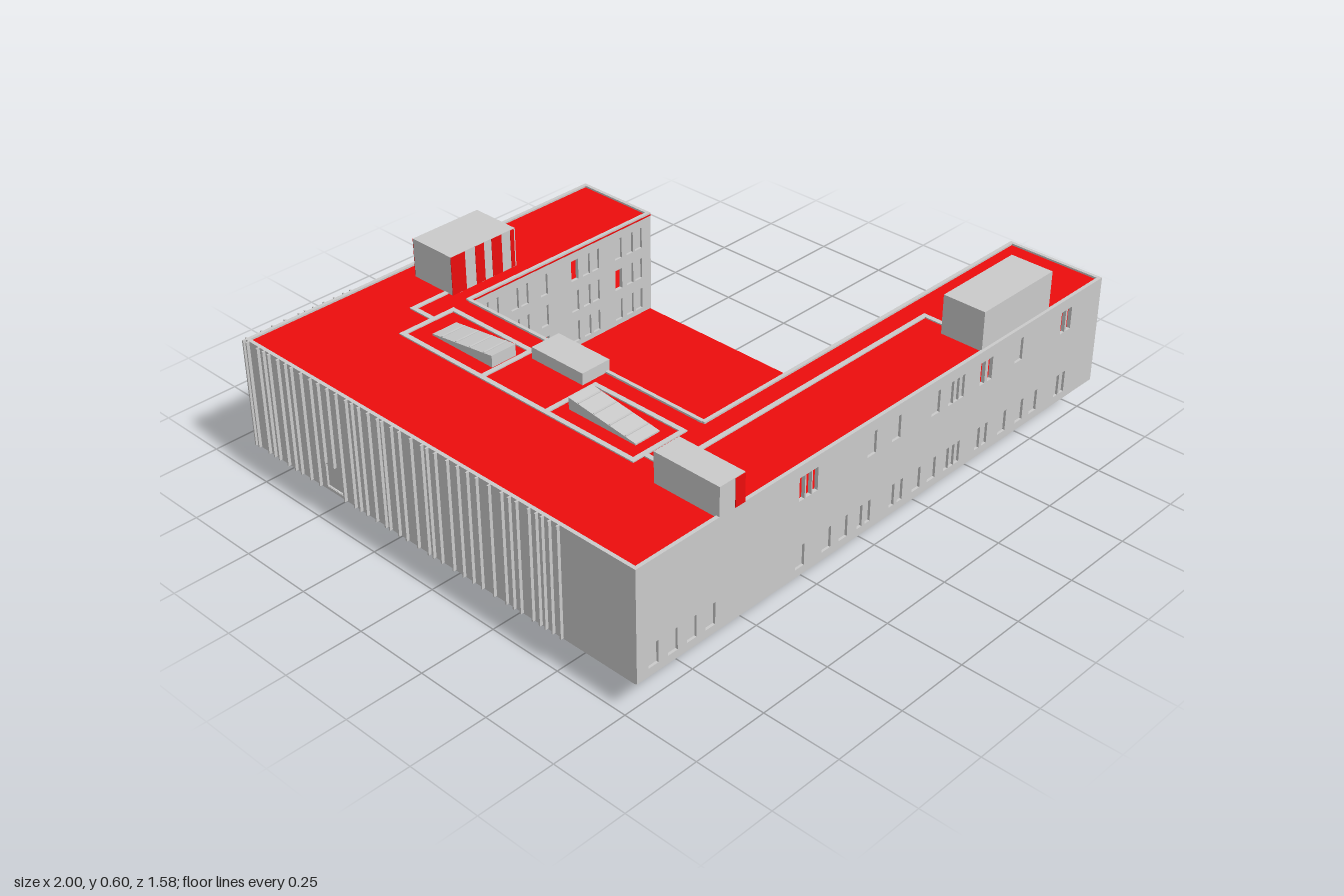
import * as THREE from 'three';

export function createModel() {
  const root = new THREE.Group();
  const grey = new THREE.MeshStandardMaterial({ color: 0xcccccc, side: THREE.DoubleSide });
  const red = new THREE.MeshStandardMaterial({ color: 0xee0d0d, side: THREE.DoubleSide });

  const add = (name, geo, mat = grey, parent = root) => {
    const m = new THREE.Mesh(geo, mat);
    m.name = name;
    parent.add(m);
    return m;
  };
  // Box given by its extents on each axis
  const box = (name, x0, x1, y0, y1, z0, z1, mat = grey, parent = root) => {
    const m = add(name, new THREE.BoxGeometry(x1 - x0, y1 - y0, z1 - z0), mat, parent);
    m.position.set((x0 + x1) / 2, (y0 + y1) / 2, (z0 + z1) / 2);
    return m;
  };
  const outline = (pts) => new THREE.Shape(pts.map(([x, y]) => new THREE.Vector2(x, y)));
  const rect = (x0, x1, y0, y1) => outline([[x0, y0], [x1, y0], [x1, y1], [x0, y1]]);
  const extrude = (shape, depth) => new THREE.ExtrudeGeometry(shape, { depth, bevelEnabled: false });

  // Wall with window holes [centre, y, width, height, open]; closed ones get a recessed pane
  const T = 0.012, BASE = 0.115, TOP = 0.475;
  function wall(name, a, b, windows, outward = 1) {
    const g = new THREE.Group();
    g.name = name;
    const shape = rect(a, b, BASE, TOP);
    for (const [c, y, w, h, open] of windows) {
      shape.holes.push(rect(c - w / 2, c + w / 2, y - h / 2, y + h / 2));
      const z = outward > 0 ? 0.002 : T - 0.004;
      if (!open) {
        box('windowPane', c - w / 2, c + w / 2, y - h / 2, y + h / 2, z, z + 0.002, grey, g);
      }
    }
    add(name + 'Shell', extrude(shape, T), grey, g);
    root.add(g);
    return g;
  }

  // Front wall: two rows of windows
  const upper = [[-0.37, 1], [-0.343, 1], [-0.317, 1], [-0.08], [0.025], [0.2], [0.268], [0.293], [0.318],
    [0.415, 1], [0.45, 1], [0.59], [0.81, 1], [0.84, 1]];
  const lower = [-0.93, -0.86, -0.79, -0.72, -0.37, -0.26, -0.19, -0.12, -0.085, 0.02, 0.057, 0.13, 0.2,
    0.268, 0.293, 0.318, 0.415, 0.45, 0.535, 0.62, 0.69, 0.81, 0.84];
  const paired = (list, i) => Math.min(...list.map((v, j) => (j === i ? 1 : Math.abs(v - list[i])))) < 0.045;
  const upperX = upper.map((u) => u[0]);
  wall('frontWall', -0.99, 1, [
    ...upper.map(([x, open], i) => [x, 0.4, paired(upperX, i) ? 0.022 : 0.036, 0.075, open]),
    ...lower.map((x, i) => [x, 0.177, paired(lower, i) ? 0.022 : 0.036, 0.072, 0]),
  ]).position.z = 0.785 - T;

  // Front wing, courtyard side
  const innerWindows = [];
  for (const x of [0.9, 0.8, 0.7, 0.61, 0.51]) for (const y of [0.3, 0.19]) innerWindows.push([x, y, 0.036, 0.07, 1]);
  wall('frontWingInnerWall', -0.4, 1, innerWindows, -1).position.z = 0.45;
  for (let x = -0.33; x < 0.42; x += 0.075) {
    box('frontWingFin', x, x + 0.005, 0.13, 0.42, 0.444, 0.45);
  }
  box('frontWingLedge', -0.39, 1, 0.42, 0.427, 0.444, 0.45);

  // Rear wall: three rows, open in the middle columns
  const rows = [0.4, 0.29, 0.18];
  const backWindows = [], northWindows = [];
  rows.forEach((y, r) => {
    [0.22, 0.1, 0.06, 0.02, -0.07, -0.16, -0.2, -0.31, -0.35, -0.45, -0.51].forEach((x, i) =>
      backWindows.push([x, y, 0.03, 0.072, (i + r) % 4 !== 3]));
    [-0.34, -0.3, -0.22, -0.18, -0.1, 0.03, 0.08, 0.12, 0.22, 0.27, 0.31].forEach((x, i) =>
      northWindows.push([x, y, 0.03, 0.072, (i * 2 + r) % 7 === 3]));
  });
  wall('backWall', -0.99, 0.365, backWindows, -1).position.z = -0.785;
  wall('backWingInnerWall', -0.4, 0.365, northWindows).position.z = -0.49 - T;

  // Solid end walls of the two wings
  box('frontWingEnd', 1 - T, 1, BASE, TOP, 0.45, 0.785);
  box('backWingEnd', 0.365 - T, 0.365, BASE, TOP, -0.785, -0.49);

  // West side wall with a doorway, and the glazed courtyard wall
  const westWall = wall('sideWall', -0.785, 0.785, [[-0.42, 0.162, 0.07, 0.08, 0]], -1);
  westWall.rotation.y = -Math.PI / 2;
  westWall.position.x = -0.99 + T;
  westWall.children.forEach((c) => { if (c.name === 'windowPane') c.position.z = 0.004; });
  const tall = [];
  for (let z = -0.43; z < 0.42; z += 0.08) {
    if (z > -0.15 && z < 0.11) continue;
    tall.push([z, 0.37, 0.05, 0.13, 0], [z, 0.21, 0.05, 0.13, 0]);
  }
  const courtWall = wall('courtyardWall', -0.49, 0.45, tall, -1);
  courtWall.rotation.y = -Math.PI / 2;
  courtWall.position.x = -0.39;

  // Irregular vertical fins on the side wall and the adjoining part of the rear wall
  let seed = 7;
  const rand = () => (seed = (seed * 16807) % 2147483647) / 2147483647;
  for (let z = -0.785; z < 0.54; z += 0.016 + rand() * 0.035) {
    const overDoor = z > -0.46 && z < -0.38;
    box('sideFin', -1, -0.99, overDoor ? 0.21 : BASE, TOP, z, z + 0.005);
  }
  for (let x = -0.985; x < -0.58; x += 0.02 + rand() * 0.035) {
    box('backFin', x, x + 0.005, BASE, TOP, -0.792, -0.785);
  }

  // C-shaped roof and ground slab, y measured from below
  const plan = [[-0.99, -0.785], [-0.99, 0.785], [0.365, 0.785], [0.365, 0.49], [-0.395, 0.49],
    [-0.395, -0.45], [0.995, -0.45], [0.995, -0.785]];
  const slab = (name, y, h, mat) => {
    const m = add(name, extrude(outline(plan), h), mat);
    m.rotation.x = -Math.PI / 2;
    m.position.y = y;
    m.scale.set(0.998, 0.998, 1);
  };
  slab('roof', 0.464, 0.005, red);
  slab('groundSlab', 0.117, 0.006, grey);

  // Intermediate floors
  for (const y of [0.124, 0.235, 0.348]) box('backWingFloor', -0.6, 0.35, y, y + 0.003, -0.77, -0.504, red);
  box('frontWingFloor', -0.5, 0.985, 0.35, 0.353, 0.464, 0.77, red);

  // Courtyard deck, underside plate and ribs
  box('courtyardDeck', -0.39, 0.36, 0.122, 0.126, -0.49, 0.45, red);
  box('undersidePlate', -0.985, 0.36, 0.106, 0.122, -0.785, 0.775);
  box('courtyardBeam', -0.4, -0.385, 0.1, 0.106, -0.49, 0.46);
  for (const z of [-0.5, -0.34, -0.18, -0.02, 0.14, 0.3, 0.46]) {
    box('undersideRib', -0.98, z === -0.5 || z === 0.46 ? 0.355 : -0.4, 0.1, 0.106, z, z + 0.012);
  }

  // Two portal frames below the lift shaft
  for (const z of [0.05, -0.08]) {
    box('portalHead', -0.404, -0.396, 0.08, 0.106, z - 0.03, z + 0.03);
    for (const s of [-1, 1]) box('portalLeg', -0.404, -0.396, 0, 0.08, z + s * 0.025 - 0.006, z + s * 0.025 + 0.006);
  }

  // Lift shaft with its door strip
  box('liftShaft', -0.49, -0.385, 0.122, 0.507, -0.12, 0.085);
  box('liftGlazing', -0.385, -0.382, 0.13, 0.46, -0.05, 0.02);
  box('liftDoor', -0.382, -0.38, 0.13, 0.21, -0.05, 0.02);

  // Rooftop plant rooms
  box('backPlantRoom', -0.41, -0.155, 0.465, 0.598, -0.72, -0.55);
  for (const [a, b] of [[-0.41, -0.355], [-0.315, -0.28], [-0.25, -0.21], [-0.175, -0.16]]) {
    box('redStripe', a, b, 0.47, 0.597, -0.5505, -0.549, red);
    box('redStripe', a, b, 0.47, 0.597, -0.721, -0.7195, red);
  }
  box('redStripe', -0.1555, -0.154, 0.47, 0.597, -0.61, -0.578, red);
  box('frontPlantRoom', 0.415, 0.74, 0.465, 0.598, 0.63, 0.775);
  for (const y of [0.49, 0.54]) box('plantRoomHatch', 0.739, 0.743, y - 0.014, y + 0.014, 0.73, 0.76);
  box('stairHouse', -0.69, -0.595, 0.465, 0.567, 0.555, 0.785);
  box('stairHouseDoor', -0.632, -0.596, 0.475, 0.565, 0.784, 0.787, red);

  // Mirrored wedge skylights rising towards the centre
  for (const [s, mid] of [[1, 0.02], [-1, -0.04]]) {
    const g = new THREE.Group();
    g.name = 'skylight';
    const profile = [[0.125, 0.465], [0.38, 0.465], [0.38, 0.474], [0.125, 0.507]].map(([d, y]) => [mid + s * d, y]);
    const wedge = add('skylightBody', extrude(outline(profile), 0.09), grey, g);
    wedge.rotation.y = -Math.PI / 2;
    wedge.position.x = -0.51;
    if (s < 0) {
      const side = add('skylightSide', extrude(outline(profile), 0.001), red, g);
      side.rotation.y = -Math.PI / 2;
      side.position.x = -0.509;
    }
    for (let i = 0; i < 4; i++) {
      const d = 0.16 + i * 0.06, z = mid + s * d, y = 0.507 - (d - 0.125) * 0.129;
      box('skylightBar', -0.598, -0.512, y - 0.003, y + 0.002, z - 0.003, z + 0.003, grey, g);
    }
    root.add(g);
  }

  // Roof walkways, as strips [x0, z0, x1, z1]
  const paths = [[-0.54, -0.575, -0.42, -0.575], [-0.54, -0.575, -0.54, -0.485], [-0.655, -0.485, -0.655, 0.445],
    [-0.615, 0.445, -0.615, 0.535], [-0.615, 0.535, 0.46, 0.535], [0.46, 0.535, 0.46, 0.63]];
  for (const [a, b] of [[-0.485, -0.15], [0.11, 0.445]]) {
    paths.push([-0.655, a, -0.465, a], [-0.655, b, -0.465, b], [-0.465, a, -0.465, b]);
  }
  paths.forEach(([x0, z0, x1, z1]) =>
    box('roofWalkway', x0 - 0.008, x1 + 0.008, 0.465, 0.473, z0 - 0.008, z1 + 0.008));

  return root;
}
